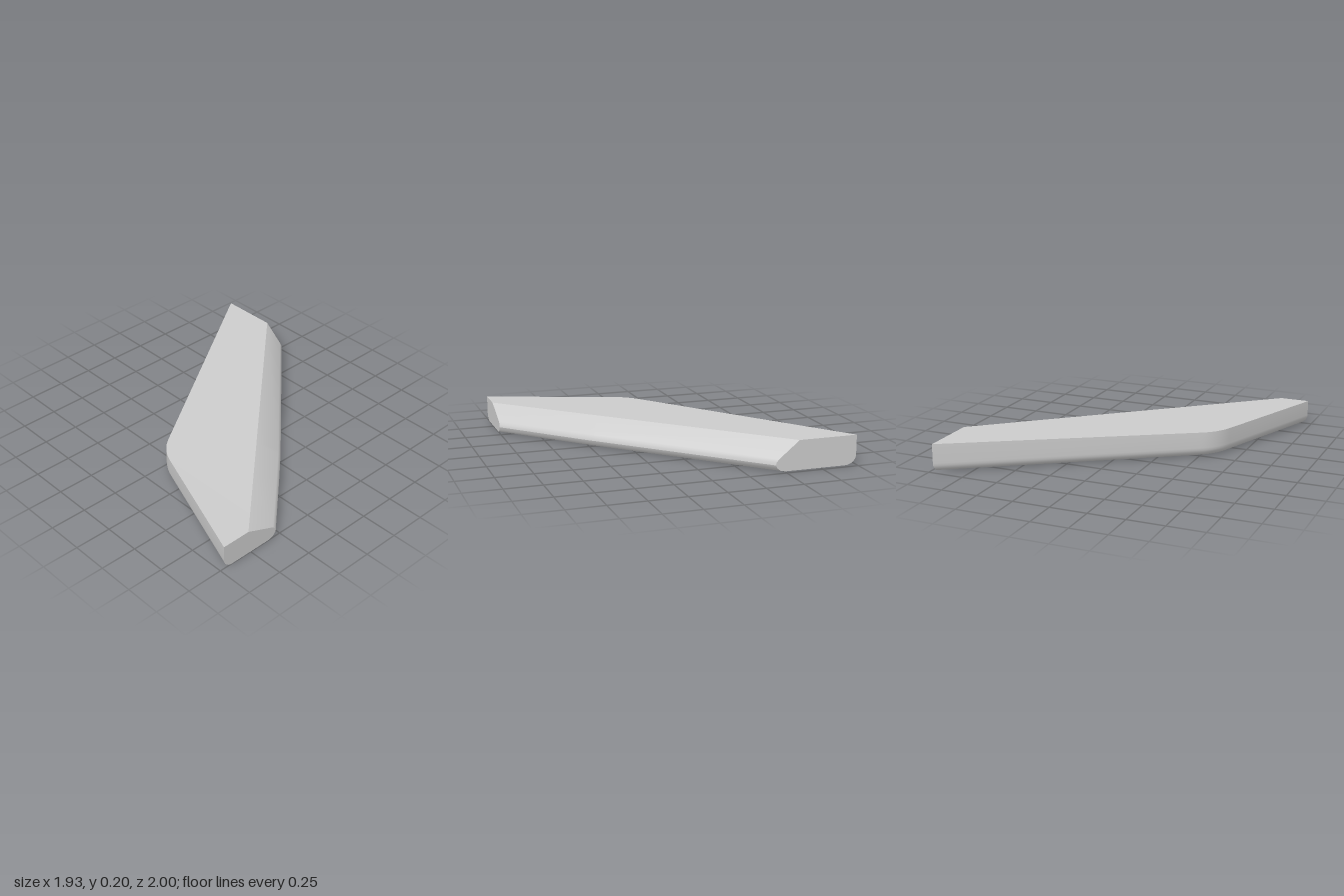
import * as THREE from 'three';
import { toCreasedNormals } from 'three/addons/utils/BufferGeometryUtils.js';

const lerp = THREE.MathUtils.lerp;
const topHeight = (x) => 0.17 + 0.026 * THREE.MathUtils.clamp((x + 0.77) / 1.735, 0, 1);

// Stations along the bent back edge: point, inward direction, and position t along the front edge
function backStations() {
  const start = new THREE.Vector2(-0.97, 1), end = new THREE.Vector2(0.965, -1);
  const bend = new THREE.QuadraticBezierCurve(
    new THREE.Vector2(-0.657, 0.15), new THREE.Vector2(-0.615, 0.035), new THREE.Vector2(-0.51, -0.03));
  const inward = (tangent) => new THREE.Vector2(-tangent.y, tangent.x);
  const n0 = inward(bend.getTangent(0)), n1 = inward(bend.getTangent(1));
  const stations = [{ p: start, n: new THREE.Vector2(1 / n0.x, 0), t: 0 }];
  const steps = 8;
  for (let i = 0; i <= steps; i++) {
    const u = i / steps;
    stations.push({ p: bend.getPoint(u), n: inward(bend.getTangent(u)), t: lerp(0.22, 0.37, u) });
  }
  stations.push({ p: end, n: new THREE.Vector2(0, 1 / n1.y), t: 1 });
  return stations;
}

// Front profile: inset at the front end, inset at the right end, height
const FRONT_PROFILE = [
  [0.065, 0.065, 0], [0.035, 0.035, 0.006], [0.011, 0.011, 0.023], [0, 0, 0.045],
  [0.006, 0.005, 0.064], [0.025, 0.02, 0.082], [0.235, 0.16, null],
];

// One closed cross-section: back wall, rounded lower edge, flat base, rounded nose, sloped face
function section({ p, n, t }) {
  const ring = [[p.x, topHeight(p.x), p.y]];
  const r = 0.065, arc = 6;
  for (let i = 0; i <= arc; i++) {
    const a = (i / arc) * Math.PI / 2;
    const d = r * (1 - Math.cos(a));
    ring.push([p.x + n.x * d, r * (1 - Math.sin(a)), p.y + n.y * d]);
  }
  const bow = 0.012 * Math.sin(Math.PI * t);
  for (const [d0, d1, y] of FRONT_PROFILE) {
    const x = lerp(-0.535 - d0, 0.965, t) + (y === null ? 0 : bow);
    const z = lerp(1, -0.44 - d1, t) + (y === null ? 0 : bow);
    ring.push([x, y ?? topHeight(x), z]);
  }
  return ring;
}

// Skin consecutive sections and close both ends
function loft(rings) {
  const m = rings[0].length, last = rings.length - 1, index = [];
  for (let s = 0; s < last; s++) {
    for (let i = 0; i < m; i++) {
      const j = (i + 1) % m;
      const a = s * m + i, b = s * m + j, c = b + m, d = a + m;
      index.push(a, c, b, a, d, c);
    }
  }
  for (let i = 1; i < m - 1; i++) {
    index.push(0, i, i + 1);
    index.push(last * m, last * m + i + 1, last * m + i);
  }
  const g = new THREE.BufferGeometry();
  g.setAttribute('position', new THREE.Float32BufferAttribute(rings.flat(2), 3));
  g.setIndex(index);
  return toCreasedNormals(g, 0.5);
}

export function createModel() {
  const group = new THREE.Group();
  group.name = 'angledSlab';
  const slab = new THREE.Mesh(
    loft(backStations().map(section)),
    new THREE.MeshStandardMaterial({ color: 0xcccccc }));
  slab.name = 'slabBody';
  group.add(slab);
  return group;
}
